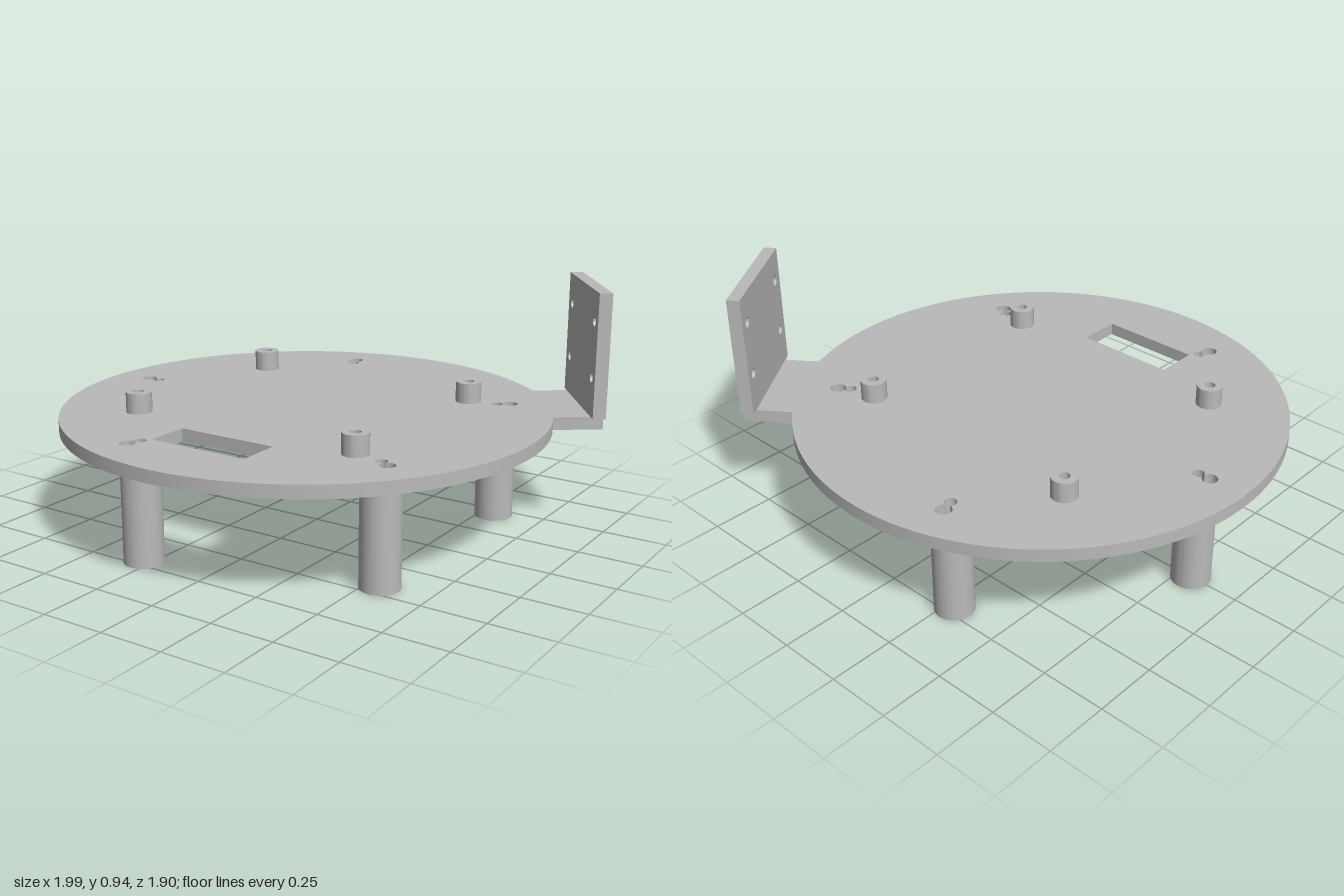
import * as THREE from 'three';
import { toCreasedNormals } from 'three/addons/utils/BufferGeometryUtils.js';

// Plan coordinates: px = x, py = -z, measured from the world origin.
const CX = -0.05, DECK_R = 0.95, DECK_Y = 0.41, DECK_T = 0.05;
const LEG_RING = 0.75, LEG_R = 0.075, BORE_R = 0.023;
const PIN_D = 0.05, PIN_R = 0.03, POCKET = 0.02;
const ARM = Math.PI / 5;
const WINDOW = { x0: -0.255, x1: 0.155, y0: -0.68, y1: -0.51 };

// Points on an arc from angle a to angle b
function arc(cx, cy, r, a, b, n) {
  return Array.from({ length: n + 1 }, (_, i) => {
    const t = a + (b - a) * i / n;
    return new THREE.Vector2(cx + r * Math.cos(t), cy + r * Math.sin(t));
  });
}

const circle = (x, y, r, n = 28) => new THREE.Path(arc(x, y, r, 0, Math.PI * 2 * (1 - 1 / n), n - 1));

// Turn points by an angle, then move them
function place(points, angle, x, y) {
  const o = new THREE.Vector2();
  return points.map(p => p.clone().rotateAround(o, angle).add(new THREE.Vector2(x, y)));
}

// Angles, seen from each circle, where circle (0, r1) meets circle (PIN_D, r2)
function meet(r1, r2) {
  const a = (PIN_D ** 2 + r1 ** 2 - r2 ** 2) / (2 * PIN_D);
  const h = Math.sqrt(r1 ** 2 - a ** 2);
  return [Math.atan2(h, a), Math.atan2(h, a - PIN_D)];
}

function extrude(shape, depth) {
  const g = new THREE.ExtrudeGeometry(shape, { depth, bevelEnabled: false });
  return toCreasedNormals(g, 0.5);
}

// Extrude a plan shape upwards from height y
function slab(shape, y, depth) {
  return extrude(shape, depth).rotateX(-Math.PI / 2).translate(0, y, 0);
}

export function createModel() {
  const model = new THREE.Group();
  model.name = 'roundPlatform';
  const grey = new THREE.MeshStandardMaterial({ color: 0xbababa });
  grey.name = 'plain grey';
  const add = (parent, name, geometry) => {
    const mesh = new THREE.Mesh(geometry, grey);
    mesh.name = name;
    parent.add(mesh);
    return mesh;
  };

  const [boreA, pinA] = meet(BORE_R, PIN_R);
  const [legA, pinLegA] = meet(LEG_R, PIN_R);
  const TAU = Math.PI * 2;
  const legAngles = [0, 1, 2, 3, 4].map(i => Math.PI + i * TAU / 5);
  const legCentre = a => [CX + LEG_RING * Math.cos(a), LEG_RING * Math.sin(a)];

  // Deck: disc with a side arm, window, keyholes and standoff bores
  const half = 0.2, tabA = Math.asin(half / DECK_R);
  const outline = arc(0, 0, DECK_R, tabA, TAU - tabA, 140);
  outline.push(new THREE.Vector2(1.12, -half), new THREE.Vector2(1.12, half));
  const deck = new THREE.Shape(place(outline, ARM, CX, 0));
  const w = WINDOW;
  deck.holes.push(new THREE.Path([[w.x0, w.y0], [w.x1, w.y0], [w.x1, w.y1], [w.x0, w.y1]]
    .map(p => new THREE.Vector2(...p))));
  const keyhole = [
    ...arc(0, 0, BORE_R, boreA, TAU - boreA, 22),
    ...arc(PIN_D, 0, PIN_R, -pinA, pinA, 26).slice(1, -1),
  ];
  for (const a of legAngles) deck.holes.push(new THREE.Path(place(keyhole, a, ...legCentre(a))));
  const standoffs = [-0.54, 0.44].flatMap(x => [-0.42, 0.42].map(y => [x, y]));
  for (const [x, y] of standoffs) deck.holes.push(circle(x, y, 0.021));
  add(model, 'deck', slab(deck, DECK_Y, DECK_T));

  // Standoffs on top of the deck
  for (const [x, y] of standoffs) {
    const ring = new THREE.Shape(circle(x, y, 0.05, 36).getPoints());
    ring.holes.push(circle(x, y, 0.021));
    add(model, 'standoff', slab(ring, DECK_Y + DECK_T, 0.08));
  }

  // Bored legs, with a shallow pin pocket cut into the top of each
  const inWindow = p => p.x > w.x0 && p.x < w.x1 && p.y > w.y0 && p.y < w.y1;
  for (const a of legAngles) {
    const leg = new THREE.Group();
    leg.name = 'leg';
    model.add(leg);
    const [x, y] = legCentre(a);
    const tube = new THREE.Shape(circle(x, y, LEG_R, 48).getPoints());
    tube.holes.push(circle(x, y, BORE_R));
    add(leg, 'legTube', slab(tube, 0, DECK_Y - POCKET));

    const rim = place(arc(0, 0, LEG_R, legA, TAU - legA, 90), a, x, y);
    const first = rim.findIndex(inWindow);
    if (first >= 0) {
      // Clear the corner of the window
      const count = rim.filter(inWindow).length;
      rim.splice(first, count, new THREE.Vector2(w.x0, w.y0));
    }
    const pocket = place([
      ...arc(PIN_D, 0, PIN_R, -pinLegA, -pinA, 12).slice(1),
      ...arc(0, 0, BORE_R, TAU - boreA, boreA, 22).slice(1),
      ...arc(PIN_D, 0, PIN_R, pinA, pinLegA, 12).slice(1, -1),
    ], a, x, y);
    add(leg, 'legTop', slab(new THREE.Shape([...rim, ...pocket]), DECK_Y - POCKET, POCKET));
  }

  // Upright mounting plate at the end of the arm
  const bottom = DECK_Y + DECK_T, top = 0.94, side = 0.235;
  const plate = new THREE.Shape([[-side, bottom], [side, bottom], [side, top], [-side, top]]
    .map(p => new THREE.Vector2(...p)));
  for (const t of [-0.18, 0.18]) for (const h of [0.61, 0.825]) plate.holes.push(circle(t, h, 0.02));
  const bracket = extrude(plate, 0.05).translate(0, 0, 1.07).rotateY(Math.PI / 2 + ARM).translate(CX, 0, 0);
  add(model, 'mountingPlate', bracket);

  return model;
}
